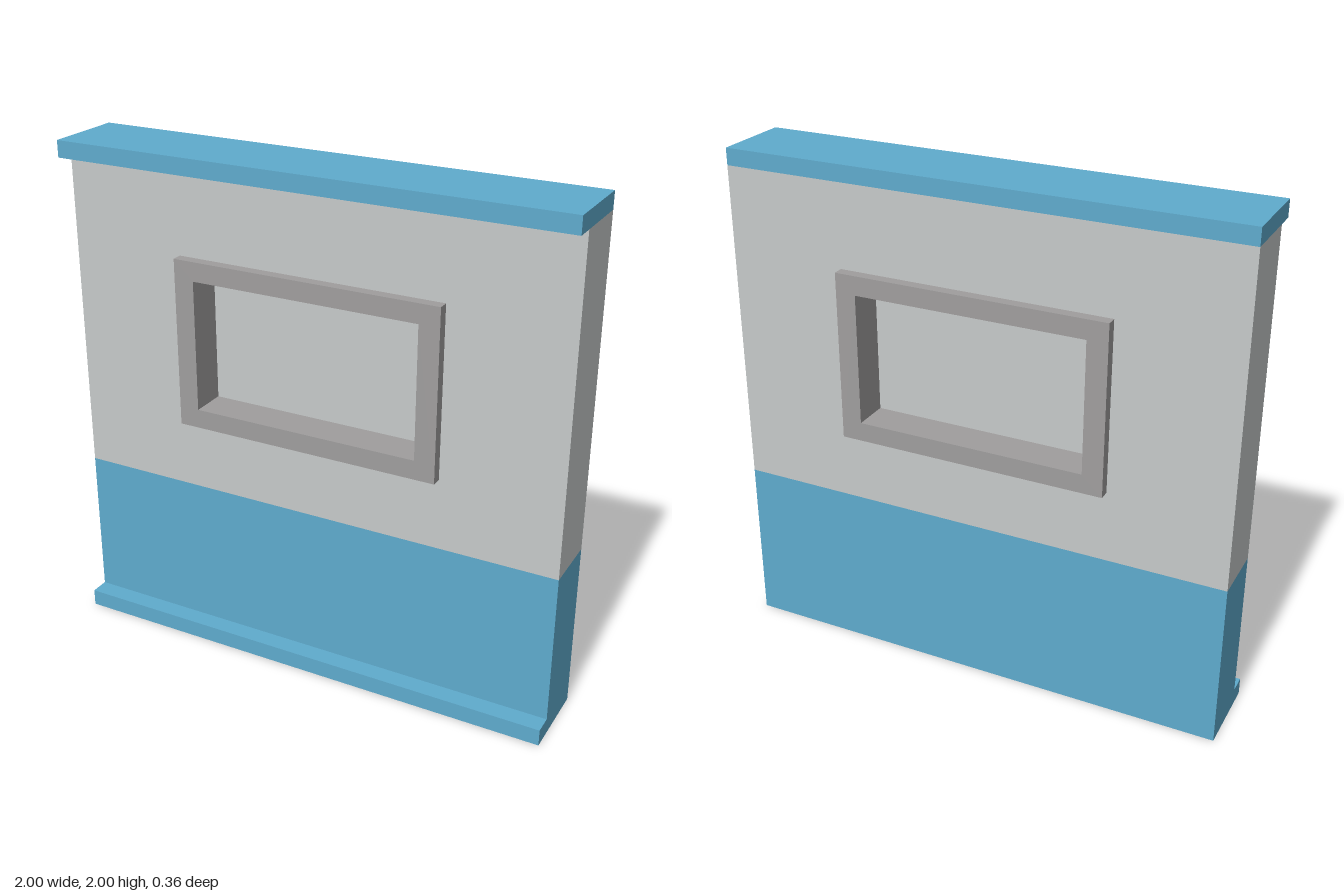
import * as THREE from 'three';

const mat = (name, color) => {
  const m = new THREE.MeshStandardMaterial({ color });
  m.name = name;
  return m;
};

export function createModel() {
  const group = new THREE.Group();
  const blue = mat('blue paint', 0x5fabcd);
  const grey = mat('light grey wall', 0xc6caca);
  const trim = mat('frame grey', 0xa09e9e);
  const navy = mat('navy underside', 0x0d3ea8);

  const add = (name, geometry, material) => {
    const mesh = new THREE.Mesh(geometry, material);
    mesh.name = name;
    group.add(mesh);
    return mesh;
  };

  // Box given by half width, y range and z range
  const slab = (name, halfW, y0, y1, z0, z1, material) => {
    const mesh = add(name, new THREE.BoxGeometry(2 * halfW, y1 - y0, z1 - z0), material);
    mesh.position.set(0, (y0 + y1) / 2, (z0 + z1) / 2);
  };

  const rect = (Type, halfW, y0, y1) => {
    const r = new Type();
    r.moveTo(-halfW, y0).lineTo(halfW, y0).lineTo(halfW, y1).lineTo(-halfW, y1).closePath();
    return r;
  };

  // Rectangle with a rectangular hole, extruded from z0 to z1
  const ring = (name, outer, inner, z0, z1, material) => {
    const shape = rect(THREE.Shape, ...outer);
    shape.holes.push(rect(THREE.Path, ...inner));
    const geometry = new THREE.ExtrudeGeometry(shape, { depth: z1 - z0, bevelEnabled: false });
    add(name, geometry, material).position.z = z0;
  };

  const back = -0.138, front = 0.105, lip = 0.18;
  const frameOuter = [0.532, 0.945, 1.61];
  const frameInner = [0.452, 1.02, 1.535];

  // Base with a front lip and a differently coloured underside
  slab('baseLip', 1, 0, 0.067, back, lip, [blue, blue, blue, navy, blue, blue]);
  slab('lowerWall', 1, 0.067, 0.665, back, front, blue);

  // Upper wall with an opening for the window, and the top cap
  ring('upperWall', [1, 0.665, 1.935], frameOuter, back, front, grey);
  slab('topCap', 1, 1.935, 2, back, lip, blue);

  // Window frame standing proud on both sides, with a recessed pane
  ring('windowFrame', frameOuter, frameInner, -0.18, 0.147, trim);
  slab('windowPane', ...frameInner, -0.035, 0.003, grey);

  return group;
}
